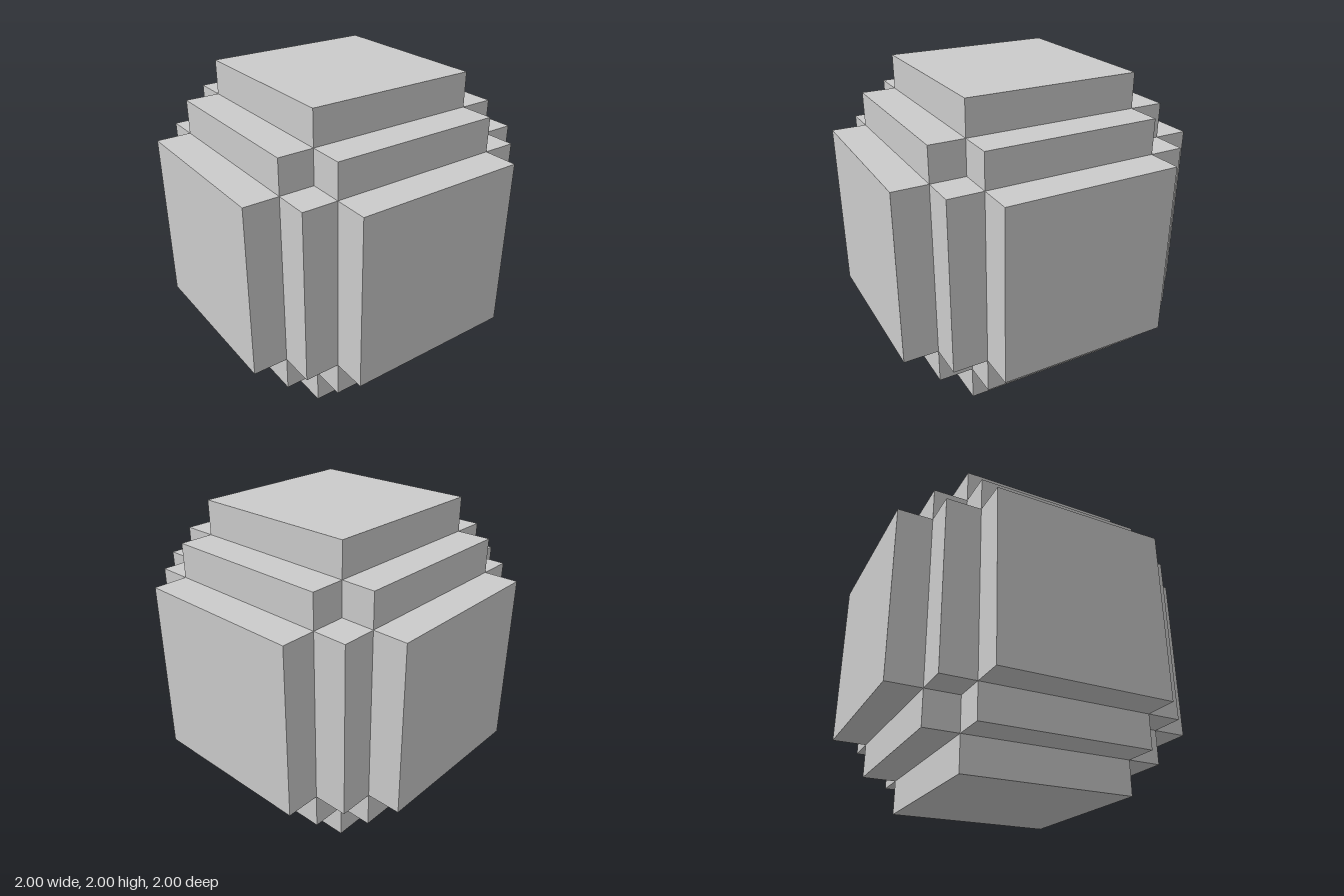
import * as THREE from 'three';

// Stepped block ball on a nine-unit grid: half extents of 5, 7 and 9 units
const CORE = 5 / 9, STEP = 7 / 9, FULL = 1;

export function createModel() {
  const group = new THREE.Group();
  group.name = 'steppedBlockBall';
  const material = new THREE.MeshStandardMaterial({ color: 0xcccccc, flatShading: true });

  function addBlock(name, half) {
    const mesh = new THREE.Mesh(new THREE.BoxGeometry(...half.map((h) => 2 * h)), material);
    mesh.name = name;
    mesh.position.y = FULL;
    group.add(mesh);
  }

  ['X', 'Y', 'Z'].forEach((axis, i) => {
    // Long bar whose ends are the outermost square faces on this axis
    const bar = [CORE, CORE, CORE];
    bar[i] = FULL;
    addBlock('longBar' + axis, bar);

    // Wide slab, thin along this axis, forming the steps between the faces
    const slab = [STEP, STEP, STEP];
    slab[i] = CORE;
    addBlock('stepSlab' + axis, slab);
  });

  return group;
}
